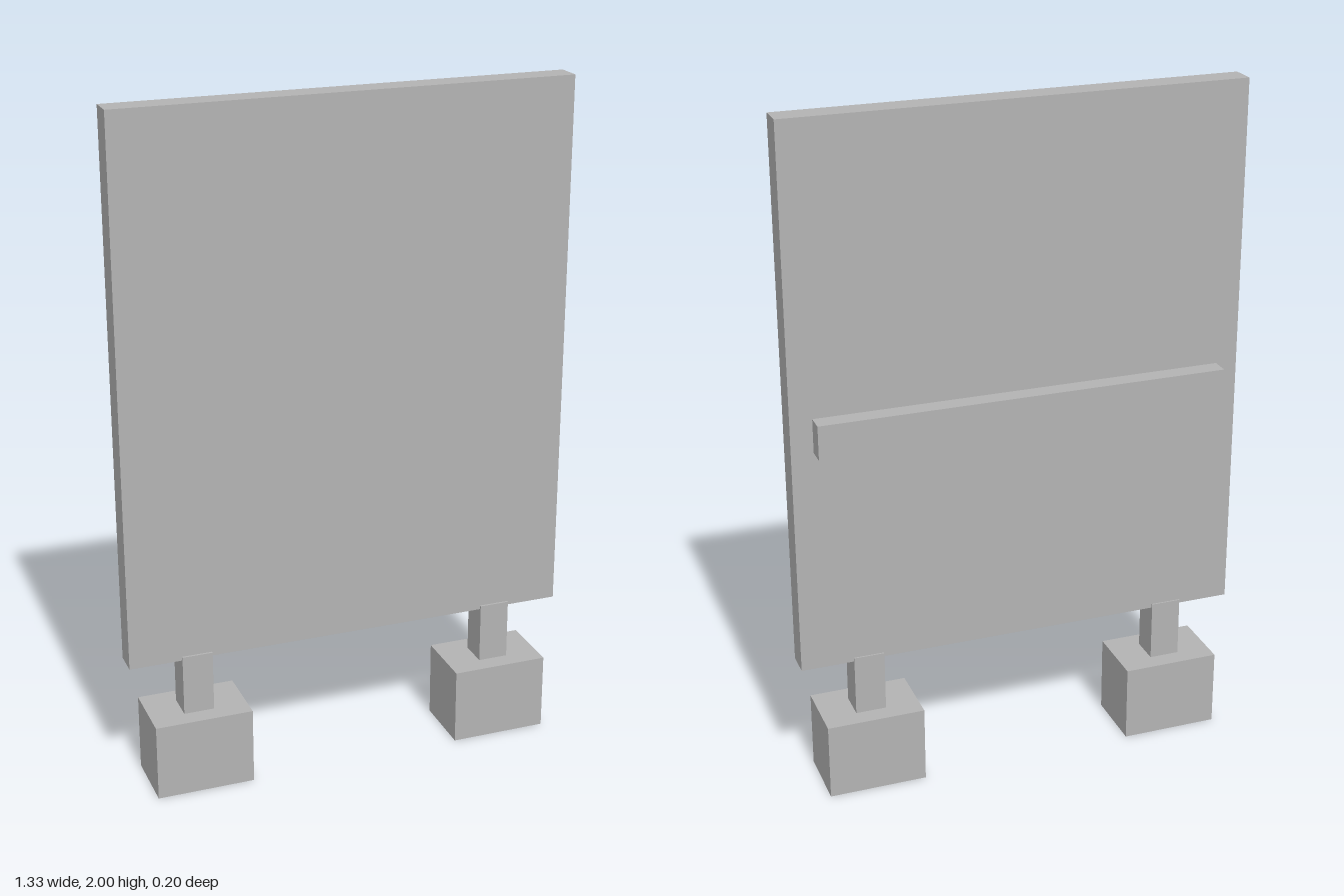
import * as THREE from 'three';

export function createModel() {
  const model = new THREE.Group();
  model.name = 'standingBoard';
  const grey = new THREE.MeshStandardMaterial({ color: 0xb3b3b3 });
  grey.name = 'plain grey';

  // Box given by its size and centre
  const addBox = (name, size, centre) => {
    const mesh = new THREE.Mesh(new THREE.BoxGeometry(...size), grey);
    mesh.name = name;
    mesh.position.set(...centre);
    model.add(mesh);
  };

  // Upright panel and the rail across its back
  addBox('panel', [1.333, 1.6, 0.077], [0, 1.2, -0.001]);
  addBox('backRail', [1.205, 0.1, 0.055], [0, 1.12, -0.067]);

  // A block foot and short post on each side; the post tops overlap the panel
  for (const [side, s] of [['left', 1], ['right', -1]]) {
    addBox(side + 'Foot', [0.29, 0.23, 0.197], [s * 0.467, 0.115, 0]);
    addBox(side + 'Post', [0.09, 0.19, 0.088], [s * 0.467, 0.317, 0]);
  }
  return model;
}
